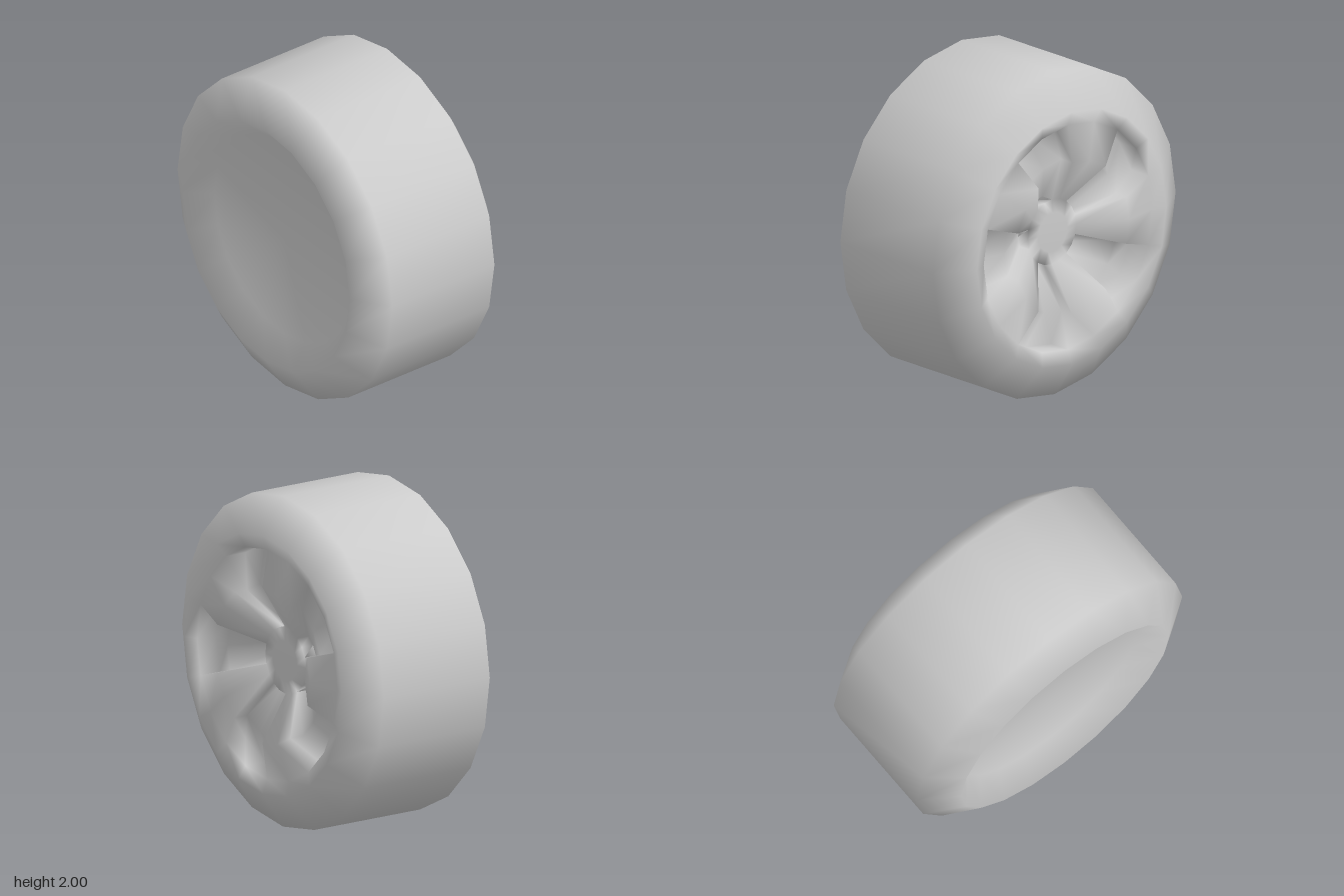
import * as THREE from 'three';

const SIDES = 20;
const STEP = (Math.PI * 2) / SIDES;

// Point on the wheel: radius, position along the axle (x), angle step counted from +z
const point = (r, x, k) => {
  const a = k * STEP;
  return [x, 1 + r * Math.sin(a), r * Math.cos(a)];
};

// Sheet of quads over rows (along the profile) and columns (around the axle)
function sheet(rows, cols, at) {
  const pos = [], index = [];
  for (let i = 0; i < rows; i++) for (let j = 0; j < cols; j++) pos.push(...at(i, j));
  for (let i = 0; i < rows - 1; i++) for (let j = 0; j < cols - 1; j++) {
    const a = i * cols + j, b = a + cols;
    index.push(a, b, b + 1, a, b + 1, a + 1);
  }
  const g = new THREE.BufferGeometry();
  g.setAttribute('position', new THREE.Float32BufferAttribute(pos, 3));
  g.setIndex(index);
  g.computeVertexNormals();
  return g;
}

// Give points shared by several parts one common smooth normal
function blendNormals(geometries) {
  const sums = new Map();
  const key = (p, i) => [p.getX(i), p.getY(i), p.getZ(i)].map(v => Math.round(v * 1e4)).join();
  const t = new THREE.Triangle(), n = new THREE.Vector3();
  for (const g of geometries) {
    const p = g.attributes.position, idx = g.index.array;
    for (let f = 0; f < idx.length; f += 3) {
      t.setFromAttributeAndIndices(p, idx[f], idx[f + 1], idx[f + 2]);
      t.getNormal(n).multiplyScalar(t.getArea());
      // one contribution per distinct corner
      for (const k of new Set([0, 1, 2].map(c => key(p, idx[f + c])))) {
        if (!sums.has(k)) sums.set(k, new THREE.Vector3());
        sums.get(k).add(n);
      }
    }
  }
  for (const g of geometries) {
    const p = g.attributes.position;
    for (let i = 0; i < p.count; i++) {
      n.copy(sums.get(key(p, i))).normalize();
      g.attributes.normal.setXYZ(i, n.x, n.y, n.z);
    }
  }
}

export function createModel() {
  const wheel = new THREE.Group();
  wheel.name = 'wheel';
  const material = new THREE.MeshStandardMaterial({ color: 0xcccccc });
  const geometries = [];
  const add = (name, geometry) => {
    const mesh = new THREE.Mesh(geometry, material);
    mesh.name = name;
    wheel.add(mesh);
    geometries.push(geometry);
  };
  // Full ring of quads around the axle from a profile of [radius, x]
  const addRing = (name, profile) =>
    add(name, sheet(profile.length, SIDES + 1, (i, j) => point(...profile[i], j)));

  // Tyre: inner shoulder, tread, outer shoulder, rim lip
  addRing('tyre', [[0.78, -0.528], [1, -0.385], [1, 0.378], [0.78, 0.522], [0.695, 0.492]]);

  // Spoke profile from rim to hub, bulging in the middle: [radius, x, pocket depth]
  const spoke = [[0.695, 0.492, 0.14], [0.47, 0.526, 0.09], [0.2, 0.36, 0.08]];
  const fold = [0, 0, 1, 2, 2];
  for (let s = 0; s < 5; s++) {
    const start = s * 4 - 1;
    // Pocket: sunken floor, deepest at the rim, with straight walls all round
    add('pocket', sheet(5, 5, (i, j) => {
      const [r, x, depth] = spoke[fold[i]];
      const onEdge = i % 4 === 0 || j % 4 === 0;
      return point(r, onEdge ? x : x - depth, start + fold[j]);
    }));
    add('spoke', sheet(3, 3, (i, j) => point(spoke[i][0], spoke[i][1], start + 2 + j)));
  }

  // Hub: recessed flat centre
  addRing('hub', [[0.2, 0.36], [0.12, 0.365], [0, 0.365]]);

  // Inner side: sloping wall down to a recessed flat disc
  addRing('backDisc', [[0, -0.39], [0.65, -0.39], [0.78, -0.528]]);

  blendNormals(geometries);
  return wheel;
}
